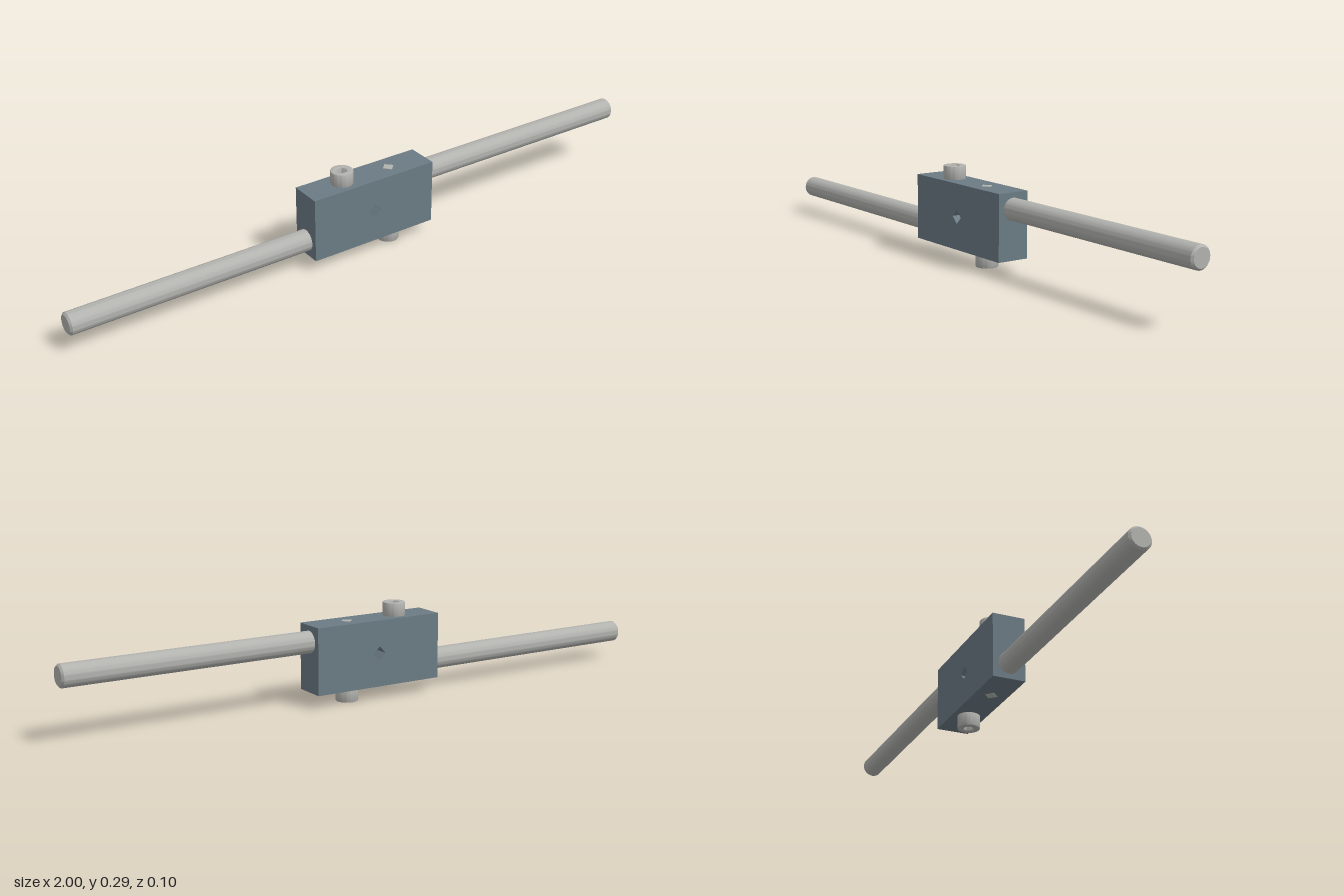
import * as THREE from 'three';
import { toCreasedNormals } from 'three/addons/utils/BufferGeometryUtils.js';

const CY = 0.146; // height of the block centre

function polygonPath(radius, sides, turn = 0) {
  const path = new THREE.Path();
  for (let i = 0; i <= sides; i++) {
    const a = turn - (i / sides) * Math.PI * 2;
    const x = radius * Math.cos(a), y = radius * Math.sin(a);
    if (i === 0) path.moveTo(x, y); else path.lineTo(x, y);
  }
  return path;
}

export function createModel() {
  const blockPaint = new THREE.MeshStandardMaterial({ color: 0x6b7b84 });
  blockPaint.name = 'blue grey';
  const steel = new THREE.MeshStandardMaterial({ color: 0xb2b2af });
  steel.name = 'steel grey';

  const model = new THREE.Group();
  model.name = 'crossRodClamp';
  const add = (parent, name, geometry, material) => {
    const mesh = new THREE.Mesh(geometry, material);
    mesh.name = name;
    parent.add(mesh);
    return mesh;
  };

  // Clamp block with a diamond hole straight through it
  const w = 0.217, h = 0.103, d = 0.104;
  const outline = new THREE.Shape([
    new THREE.Vector2(-w, -h), new THREE.Vector2(w, -h),
    new THREE.Vector2(w, h), new THREE.Vector2(-w, h),
  ]);
  outline.holes.push(polygonPath(0.022, 4));
  const blockGeo = new THREE.ExtrudeGeometry(outline, { depth: d, bevelEnabled: false });
  blockGeo.translate(0, 0, -d / 2);
  add(model, 'clampBlock', blockGeo, blockPaint).position.y = CY;

  // Rod with a chamfered outer end
  const R = 0.034, c = 0.006, start = 0.15, L = 1 - start;
  const rodGeo = toCreasedNormals(new THREE.LatheGeometry([
    new THREE.Vector2(0, 0), new THREE.Vector2(R, 0), new THREE.Vector2(R, L - c),
    new THREE.Vector2(R - c, L), new THREE.Vector2(0, L),
  ], 40), 0.5);
  rodGeo.rotateZ(-Math.PI / 2);

  // Screw head: bevelled ring around a hex socket
  const bevel = 0.003, headR = 0.035, headTop = 0.145;
  const ring = new THREE.Shape();
  ring.absarc(0, 0, headR - bevel, 0, Math.PI * 2, false);
  ring.holes.push(polygonPath(0.02, 6));
  const headGeo = toCreasedNormals(new THREE.ExtrudeGeometry(ring, {
    depth: 0.042, bevelThickness: bevel, bevelSize: bevel, bevelSegments: 2, curveSegments: 20,
  }), 0.5);
  headGeo.rotateX(-Math.PI / 2);
  const floorGeo = new THREE.CylinderGeometry(0.022, 0.022, 0.012, 24);

  // Tip of the opposite screw, flush in the block face
  const tipGeo = new THREE.CylinderGeometry(0.02, 0.02, 0.01, 4);

  // Two identical halves, the second turned half a circle about z
  ['left', 'right'].forEach((side, i) => {
    const half = new THREE.Group();
    half.name = side + 'Half';
    half.position.y = CY;
    half.rotation.z = i * Math.PI;
    add(half, side + 'Rod', rodGeo, steel).position.set(start, 0.053, 0);
    const screw = new THREE.Group();
    screw.name = side + 'SetScrew';
    screw.position.x = -0.086;
    add(screw, 'screwHead', headGeo, steel).position.y = headTop - 0.045;
    add(screw, 'socketFloor', floorGeo, steel).position.y = headTop - 0.03;
    half.add(screw);
    add(half, side + 'ScrewTip', tipGeo, steel).position.set(0.086, h - 0.004, 0);
    model.add(half);
  });

  return model;
}
